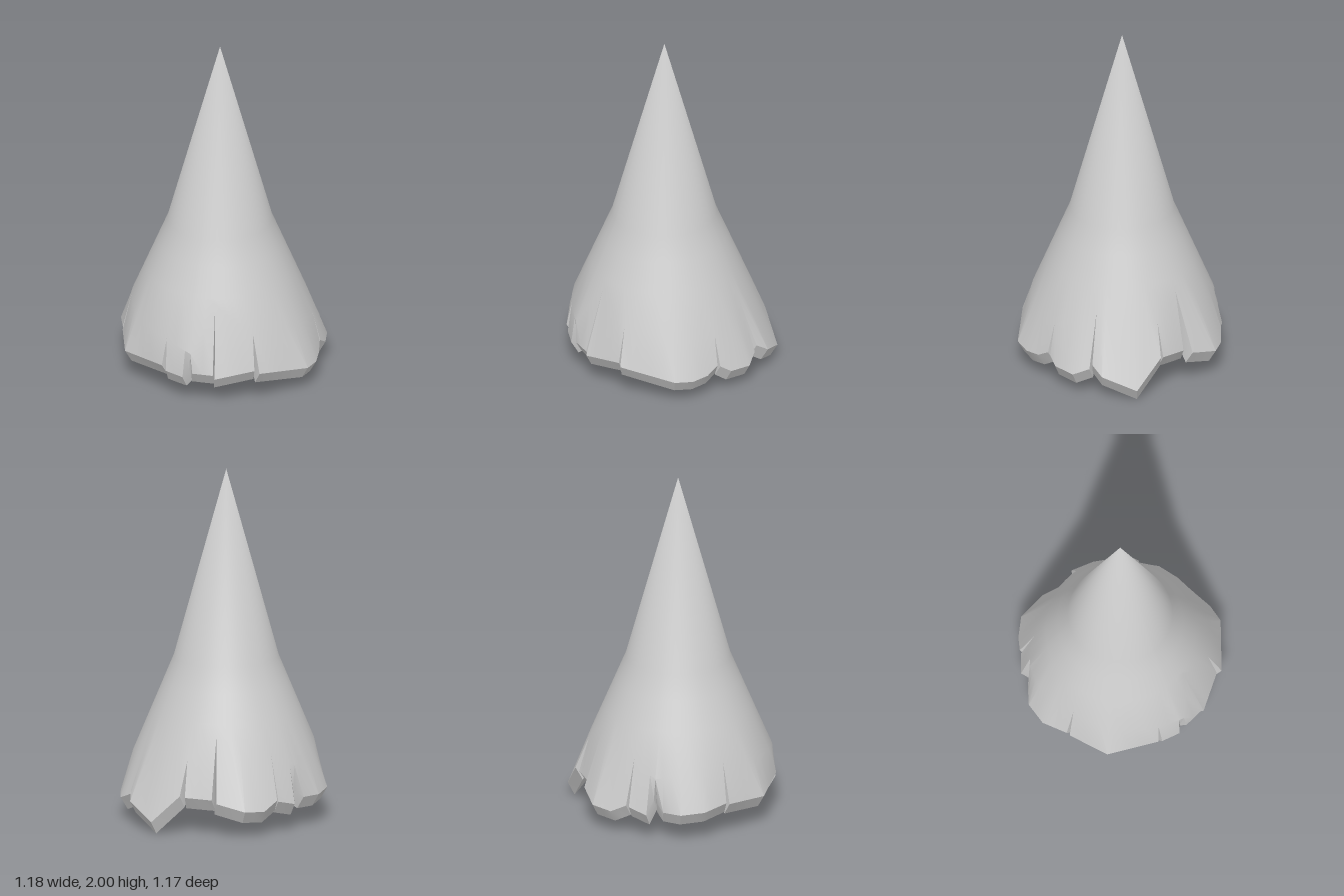
import * as THREE from 'three';
import { toCreasedNormals } from 'three/addons/utils/BufferGeometryUtils.js';

const CX = -0.02, CZ = 0.02;

// Each flap: rim corners [x, z, y], running from the front towards +x and around.
// slit = height reached by the tear at the end of the flap.
const FLAPS = [
  { slit: 0.36, rim: [[0.09, 0.585, 0.2], [0.39, 0.475, 0.15], [0.455, 0.39, 0.14], [0.49, 0.3, 0.15], [0.508, 0.232, 0.19]] },
  { slit: 0.48, rim: [[0.515, 0.215, 0.18], [0.555, 0.165, 0.14], [0.59, 0.04, 0.13], [0.56, -0.05, 0.17]] },
  { slit: 0.42, rim: [[0.56, -0.068, 0.2], [0.585, -0.14, 0.15], [0.515, -0.325, 0.07], [0.37, -0.405, 0.23]] },
  { slit: 0.55, rim: [[0.34, -0.405, 0.22], [0.2, -0.465, 0.21]] },
  { slit: 0.46, rim: [[0.185, -0.515, 0.2], [0.04, -0.59, 0.16], [-0.08, -0.565, 0.15], [-0.165, -0.527, 0.2]] },
  { slit: 0.37, rim: [[-0.175, -0.515, 0.19], [-0.28, -0.48, 0.16], [-0.285, -0.425, 0.24]] },
  { slit: 0.44, rim: [[-0.3, -0.415, 0.22], [-0.35, -0.415, 0.18], [-0.45, -0.375, 0.18], [-0.53, -0.265, 0.19], [-0.55, -0.115, 0.21]] },
  { slit: 0.37, rim: [[-0.555, -0.095, 0.2], [-0.59, 0.14, 0.19], [-0.43, 0.39, 0.21]] },
  { slit: 0.32, rim: [[-0.41, 0.405, 0.18], [-0.33, 0.48, 0.17], [-0.29, 0.468, 0.2]] },
  { slit: 0.59, rim: [[-0.28, 0.505, 0.2], [-0.172, 0.555, 0.2]] },
  { slit: 0.42, rim: [[-0.163, 0.565, 0.18], [0.065, 0.565, 0.21]] },
];

// Radius of the cone at a height
function coneRadius(y) {
  return y > 0.92 ? 0.295 * (2 - y) / 1.08 : 0.295 + (0.92 - y) * 0.412;
}

const polar = (a, r, y) => [CX + Math.sin(a) * r, y, CZ + Math.cos(a) * r];

function angleOf([x, z]) {
  return Math.atan2(x - CX, z - CZ);
}

// Cross-section: down the outside, around the rim, then the hollowed underside.
// Below the rim it keeps the shared top angle, so each tear closes to a groove.
function section(topAngle, slit, [x, z, y]) {
  const r = Math.hypot(x - CX, z - CZ);
  return [
    [CX, 2, CZ],
    ...[0.92, 0.78, 0.62, slit].map(h => polar(topAngle, coneRadius(h), h)),
    [x, y, z],
    polar(topAngle, r - 0.04, y - 0.07),
    polar(topAngle, r - 0.14, y + 0.065),
    polar(topAngle, 0.2, 0.38),
    [CX, 0.4, CZ],
  ];
}

function flapTriangles(index, ranges) {
  const n = FLAPS.length;
  const { rim, slit } = FLAPS[index];
  const prevSlit = FLAPS[(index + n - 1) % n].slit;
  const [start, end] = ranges[index];
  const turn = 2 * Math.PI;
  // neighbouring flaps share one angle at the top of the tear
  const left = (start + (index ? ranges[index - 1][1] : ranges[n - 1][1] - turn)) / 2;
  const right = (end + (index < n - 1 ? ranges[index + 1][0] : ranges[0][0] + turn)) / 2;

  // straight rim edges, split finely enough for a round cone above
  const points = [rim[0]];
  for (let i = 1; i < rim.length; i++) {
    const p = rim[i - 1], q = rim[i];
    const steps = Math.ceil(Math.hypot(q[0] - p[0], q[1] - p[1]) / 0.075);
    for (let k = 1; k <= steps; k++) points.push(p.map((v, c) => v + (q[c] - v) * k / steps));
  }

  const columns = points.map((p, i) => {
    let a = angleOf(p);
    while (a < start - 0.3) a += turn;
    const f = i === 0 ? 0 : i === points.length - 1 ? 1 : (a - start) / (end - start);
    return section(left + (right - left) * f, prevSlit + (slit - prevSlit) * f, p);
  });

  const pos = [];
  const tri = (a, b, c) => pos.push(...a, ...b, ...c);
  const rows = columns[0].length;
  for (let i = 0; i + 1 < columns.length; i++) {
    const p = columns[i], q = columns[i + 1];
    for (let j = 0; j + 1 < rows; j++) {
      if (j < rows - 2) tri(p[j], p[j + 1], q[j + 1]);
      else tri(p[j], p[j + 1], q[j]);
      if (j > 0 && j < rows - 2) tri(p[j], q[j + 1], q[j]);
    }
  }
  // walls of the tears
  const first = columns[0], last = columns[columns.length - 1];
  for (let j = 5; j < 7; j++) {
    tri(first[4], first[j + 1], first[j]);
    tri(last[4], last[j], last[j + 1]);
  }
  return pos;
}

export function createModel() {
  const group = new THREE.Group();
  group.name = 'raggedCone';

  const turn = 2 * Math.PI;
  const origin = angleOf(FLAPS[0].rim[0]);
  const unwrap = a => (a < origin - 1e-6 ? a + turn : a);
  const ranges = FLAPS.map(({ rim }) => [unwrap(angleOf(rim[0])), unwrap(angleOf(rim[rim.length - 1]))]);

  // one shell, so that shading runs smoothly across the flaps
  const pos = FLAPS.flatMap((_, i) => flapTriangles(i, ranges));
  const source = new THREE.BufferGeometry();
  source.setAttribute('position', new THREE.Float32BufferAttribute(pos, 3));
  const geometry = toCreasedNormals(source, 0.5);

  // softly rounded shading at the tip
  const { position, normal } = geometry.attributes;
  for (let i = 0; i < position.count; i++) {
    if (position.getY(i) > 1.99) normal.setXYZ(i, 0, 1, 0);
  }

  const shell = new THREE.Mesh(
    geometry,
    new THREE.MeshStandardMaterial({ color: 0xcccccc, side: THREE.DoubleSide })
  );
  shell.name = 'tornConeShell';
  group.add(shell);
  return group;
}
